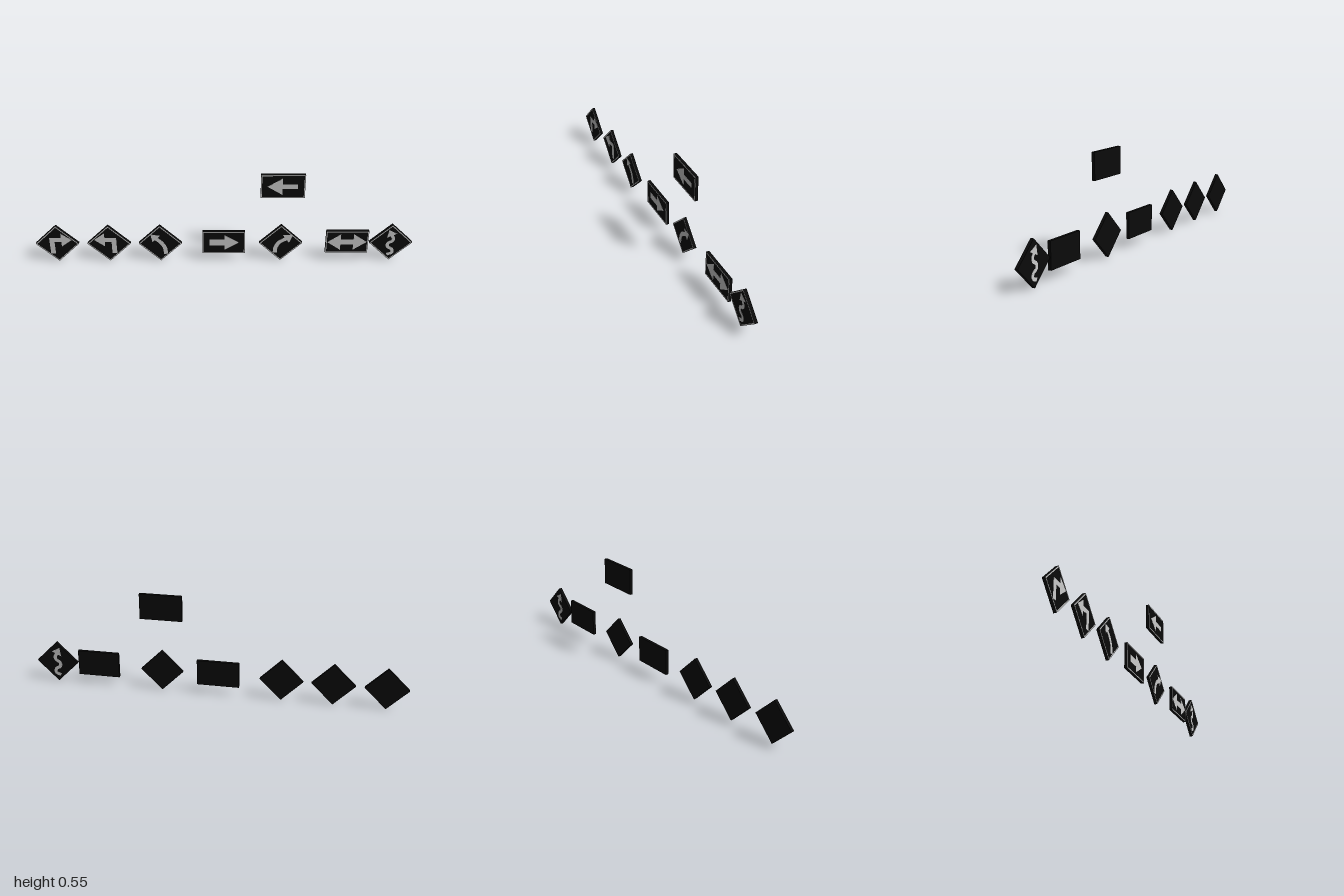
import * as THREE from 'three';

const black = new THREE.MeshStandardMaterial({ color: 0x0a0a0a });
const grey = new THREE.MeshStandardMaterial({ color: 0xcccccc });
const FRONT = 0.0085, PROUD = 0.0007, RIM = 0.006;

const polygon = (pts) => new THREE.Shape(pts.map(([x, y]) => new THREE.Vector2(x, y)));
const mirror = (pts) => pts.map(([x, y]) => [-x, y]);

// Flat piece between two depths
function slab(name, shape, z0, z1) {
  const geo = new THREE.ExtrudeGeometry(shape, { depth: z1 - z0, bevelEnabled: false });
  geo.translate(0, 0, z0);
  const mesh = new THREE.Mesh(geo, grey);
  mesh.name = name;
  return mesh;
}

// Ribbon along a smooth curve, ending in an arrowhead
function curvedArrow(points, halfWidth, headLength, headHalf) {
  const curve = new THREE.CatmullRomCurve3(points.map(([x, y]) => new THREE.Vector3(x, y, 0)));
  const left = [], right = [], n = 32;
  let p, t;
  for (let i = 0; i <= n; i++) {
    p = curve.getPointAt(i / n);
    t = curve.getTangentAt(i / n);
    left.push([p.x - t.y * halfWidth, p.y + t.x * halfWidth]);
    right.unshift([p.x + t.y * halfWidth, p.y - t.x * halfWidth]);
  }
  const head = [
    [p.x - t.y * headHalf, p.y + t.x * headHalf],
    [p.x + t.x * headLength, p.y + t.y * headLength],
    [p.x + t.y * headHalf, p.y - t.x * headHalf],
  ];
  return polygon([...left, ...head, ...right]);
}

// Plate with a thin front border and an arrow
function sign(name, { x, y, w, h, arrow, diamond = false, through = false }) {
  const group = new THREE.Group();
  group.name = name;
  group.position.set(x, y, 0);

  const back = through ? -0.0085 : -0.0075;
  const plate = new THREE.Mesh(new THREE.BoxGeometry(w, h, FRONT - back), black);
  plate.name = 'plate';
  plate.position.z = (FRONT + back) / 2;

  const rect = (a, b) => [[-a, -b], [a, -b], [a, b], [-a, b]];
  const frame = polygon(rect(w / 2, h / 2));
  frame.holes.push(polygon(rect(w / 2 - RIM, h / 2 - RIM).reverse()));
  const border = slab('border', frame, FRONT, FRONT + PROUD);
  if (diamond) plate.rotation.z = border.rotation.z = Math.PI / 4;

  const arrowBack = through ? back - 0.001 : FRONT;
  group.add(plate, border, slab('arrow', arrow, arrowBack, FRONT + PROUD));
  return group;
}

export function createModel() {
  const model = new THREE.Group();
  model.name = 'roadSigns';

  // Arrow outlines
  const straight = (s) => [[-0.075, -s], [0.003, -s], [0.003, -0.05], [0.08, 0],
    [0.003, 0.05], [0.003, s], [-0.075, s]];
  const doubleArrow = [[-0.105, 0], [-0.034, -0.052], [-0.034, -0.016], [0.034, -0.016],
    [0.034, -0.052], [0.105, 0], [0.034, 0.052], [0.034, 0.016], [-0.034, 0.016], [-0.034, 0.052]];
  const turn = [[-0.04, -0.064], [-0.014, -0.064], [-0.014, 0.012], [0.022, 0.012],
    [0.022, -0.018], [0.078, 0.025], [0.022, 0.068], [0.022, 0.038], [-0.04, 0.038]];
  const bend = [[-0.03, -0.064], [-0.027, -0.03], [-0.008, 0.006], [0.026, 0.028]];
  const curveLeft = [[0.028, -0.07], [0.024, -0.03], [0.006, 0.004], [-0.02, 0.03]];
  const winding = [[-0.014, -0.078], [0.012, -0.066], [0.01, -0.044], [-0.014, -0.026],
    [-0.014, -0.004], [0.008, 0.012], [0.012, 0.028], [0.003, 0.046]];

  // Diamond signs
  const side = 0.162;
  const diamonds = [
    ['rightTurnSign', -0.886, polygon(turn)],
    ['leftTurnSign', -0.612, polygon(mirror(turn))],
    ['leftCurveSign', -0.34, curvedArrow(curveLeft, 0.011, 0.042, 0.03)],
    ['rightCurveSign', 0.3, curvedArrow(bend, 0.011, 0.044, 0.032)],
    ['windingRoadSign', 0.885, curvedArrow(winding, 0.009, 0.042, 0.029), true],
  ];
  for (const [name, x, arrow, through] of diamonds) {
    model.add(sign(name, { x, y: 0.117, w: side, h: side, arrow, diamond: true, through }));
  }

  // Rectangular signs
  const panels = [
    ['rightArrowSign', -0.003, 0.122, polygon(straight(0.019))],
    ['leftArrowSign', 0.299, 0.478, polygon(mirror(straight(0.014)))],
    ['doubleArrowSign', 0.652, 0.122, polygon(doubleArrow)],
  ];
  for (const [name, x, y, arrow] of panels) {
    model.add(sign(name, { x, y, w: 0.226, h: 0.14, arrow }));
  }
  return model;
}
